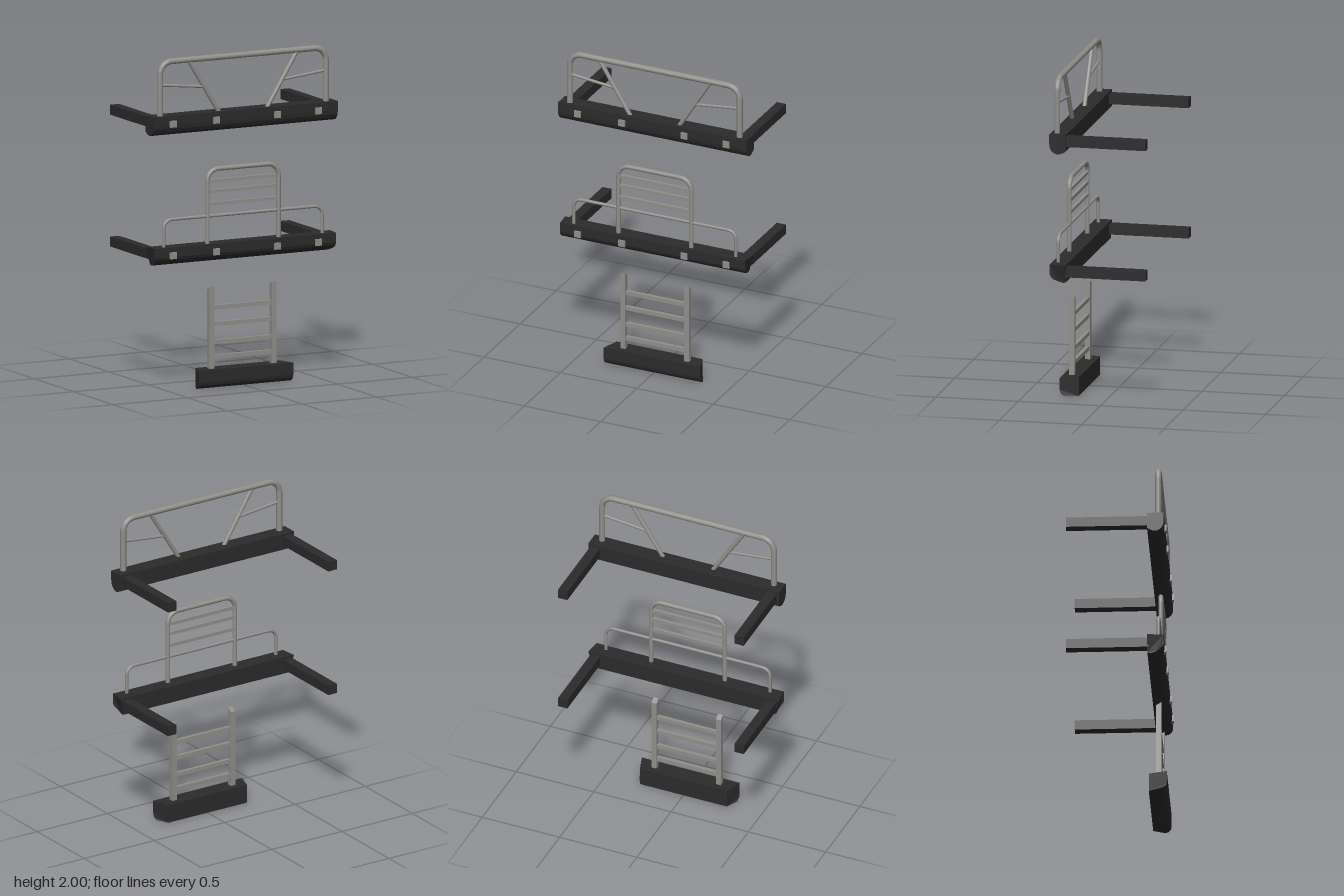
import * as THREE from 'three';

const black = new THREE.MeshStandardMaterial({ color: 0x2b2b2b });
black.name = 'blackSteel';
const grey = new THREE.MeshStandardMaterial({ color: 0x918f8a });
grey.name = 'greySteel';
const Z = 0.25; // plane of the tubes

function add(group, name, geometry, material) {
  const mesh = new THREE.Mesh(geometry, material);
  mesh.name = name;
  group.add(mesh);
  return mesh;
}

function box(group, name, material, size, pos) {
  add(group, name, new THREE.BoxGeometry(...size), material).position.set(...pos);
}

// Beam along x from a (z, y) section; cut(z, y) shortens its ends
function beam(group, half, y0, section, cut = () => 0) {
  const shape = new THREE.Shape(section.map(([z, y]) => new THREE.Vector2(z, y)));
  const geometry = new THREE.ExtrudeGeometry(shape, { depth: half * 2, bevelEnabled: false });
  geometry.rotateY(-Math.PI / 2).translate(half, 0, 0);
  const p = geometry.attributes.position;
  for (let i = 0; i < p.count; i++) {
    p.setX(i, Math.sign(p.getX(i)) * (half - cut(p.getZ(i), p.getY(i))));
  }
  geometry.computeVertexNormals();
  add(group, 'beam', geometry, black).position.y = y0;
}

// Straight round bar between two (x, y) points
function bar(group, name, [x1, y1], [x2, y2], r) {
  const line = new THREE.LineCurve3(new THREE.Vector3(x1, y1, Z), new THREE.Vector3(x2, y2, Z));
  add(group, name, new THREE.TubeGeometry(line, 1, r, 12), grey);
}

// Upside-down U of tube with rounded corners
function hoop(group, name, x, bottom, top, corner, r) {
  const v = (a, b) => new THREE.Vector3(a, b, Z);
  const path = [v(-x, bottom), v(-x, top - corner)];
  const steps = 8;
  for (const side of [-1, 1]) {
    for (let i = 0; i <= steps; i++) {
      const a = (i / steps) * Math.PI / 2;
      const t = side < 0 ? Math.PI - a : Math.PI / 2 - a;
      path.push(v(side * (x - corner) + Math.cos(t) * corner, top - corner + Math.sin(t) * corner));
    }
  }
  path.push(v(x, bottom));
  const curve = new THREE.CurvePath();
  for (let i = 1; i < path.length; i++) {
    if (path[i].distanceTo(path[i - 1]) > 1e-5) curve.add(new THREE.LineCurve3(path[i - 1], path[i]));
  }
  add(group, name, new THREE.TubeGeometry(curve, 160, r, 12), grey);
}

// Mounting arms and square pads shared by the two long bumpers
function fittings(group, armY, padY) {
  for (const s of [-1, 1]) {
    box(group, 'mountingArm', black, [0.06, 0.06, 0.49], [s * 0.57, armY, -0.05]);
  }
  for (const x of [-0.487, -0.197, 0.21, 0.485]) {
    box(group, 'squarePad', grey, [0.042, 0.04, 0.02], [x, padY, 0.286]);
  }
}

function upperBumper() {
  const g = new THREE.Group();
  g.name = 'upperBumper';
  beam(g, 0.617, 1.54, [
    [0.187, 0.018], [0.215, 0.004], [0.235, 0], [0.255, 0.006], [0.272, 0.02],
    [0.282, 0.04], [0.285, 0.062], [0.285, 0.118], [0.187, 0.118],
  ]);
  fittings(g, 1.615, 1.61);
  hoop(g, 'mainHoop', 0.555, 1.65, 1.981, 0.075, 0.018);
  for (const s of [-1, 1]) {
    bar(g, 'diagonalBrace', [s * 0.365, 1.98], [s * 0.16, 1.65], 0.013);
    bar(g, 'crossBrace', [s * 0.55, 1.843], [s * 0.27, 1.812], 0.009);
  }
  return g;
}

function middleBumper() {
  const g = new THREE.Group();
  g.name = 'middleBumper';
  beam(g, 0.617, 0.755, [
    [0.187, 0.008], [0.205, 0], [0.24, 0.01], [0.262, 0.022],
    [0.278, 0.038], [0.285, 0.055], [0.285, 0.112], [0.187, 0.112],
  ], (z, y) => (y < 0.015 ? 0.028 : y < 0.03 ? 0.014 : 0) + (z > 0.27 ? 0.012 : 0));
  fittings(g, 0.823, 0.82);
  hoop(g, 'centreHoop', 0.238, 0.86, 1.311, 0.07, 0.014);
  hoop(g, 'lowRail', 0.53, 0.86, 1.031, 0.05, 0.01);
  for (const y of [1.24, 1.178, 1.103]) {
    box(g, 'hoopRung', grey, [0.47, 0.02, 0.02], [0, y, Z]);
  }
  return g;
}

function lowerBumper() {
  const g = new THREE.Group();
  g.name = 'lowerBumper';
  beam(g, 0.316, 0, [
    [0.182, 0], [0.255, 0], [0.273, 0.008], [0.285, 0.022], [0.29, 0.04],
    [0.29, 0.112], [0.182, 0.112],
  ], (z) => (z < 0.2 ? 0.035 : 0));
  // Uprights with sloping tops
  for (const s of [-1, 1]) {
    const post = new THREE.BoxGeometry(0.032, 0.5, 0.032);
    const p = post.attributes.position;
    for (let i = 0; i < p.count; i++) {
      if (p.getY(i) > 0 && p.getZ(i) < 0) p.setY(i, p.getY(i) - 0.02);
    }
    post.computeVertexNormals();
    add(g, 'upright', post, grey).position.set(s * 0.208, 0.355, 0.238);
  }
  for (const y of [0.18, 0.27, 0.378, 0.478]) {
    box(g, 'ladderRung', grey, [0.4, 0.025, 0.022], [0, y, 0.238]);
  }
  return g;
}

export function createModel() {
  const model = new THREE.Group();
  model.name = 'bumperSet';
  model.add(upperBumper(), middleBumper(), lowerBumper());
  return model;
}
